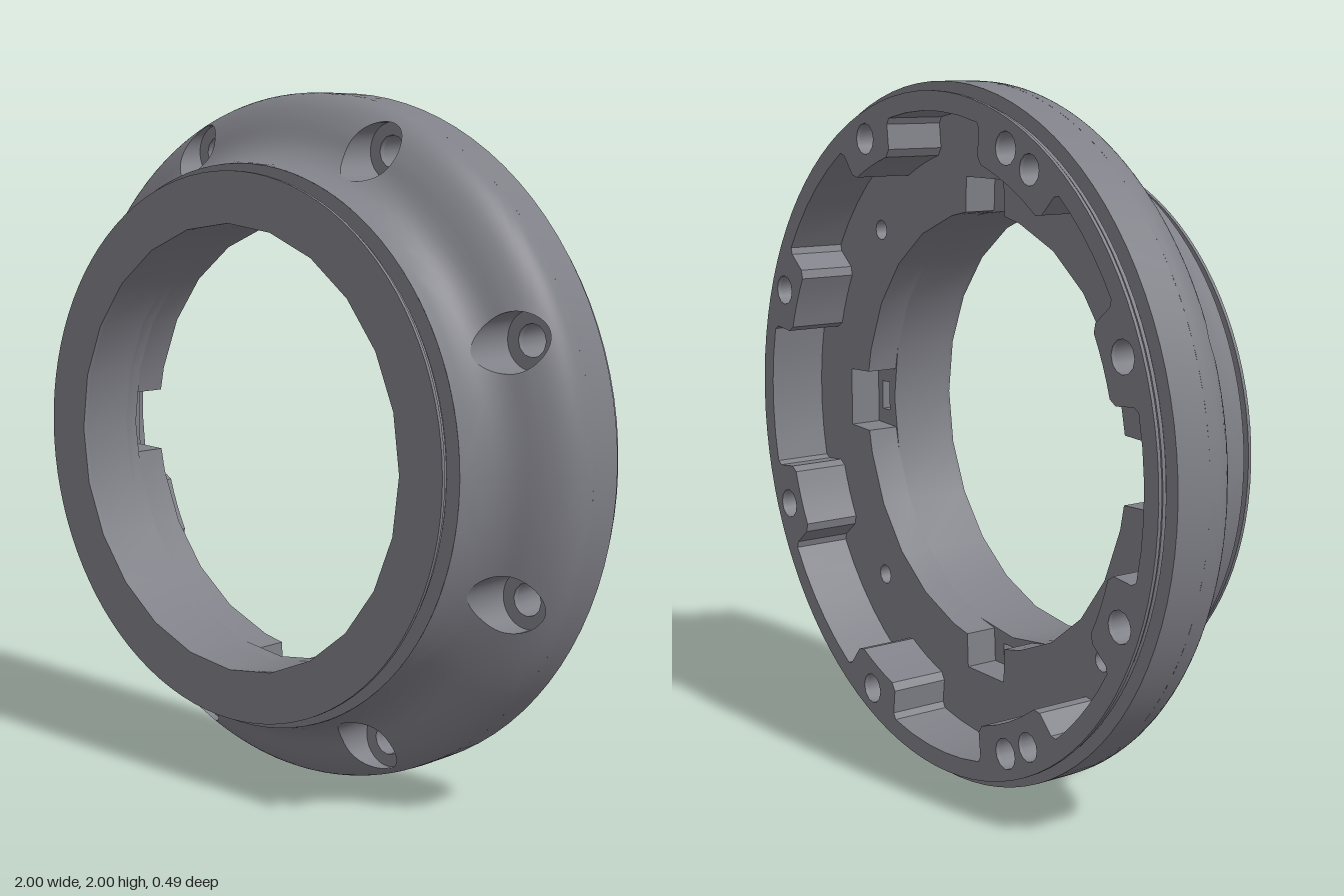
import * as THREE from 'three';
import { mergeVertices, toCreasedNormals } from 'three/addons/utils/BufferGeometryUtils.js';

const DEG = Math.PI / 180;
const BOLT_R = 0.9, BOLT_HOLE = 0.045, COUNTERBORE = 0.08;
const SEAT_Z = -0.05, FLOOR_Z = -0.065, NOTCH_Z = 0.035, BORE = 0.635;
const boltAngles = Array.from({ length: 8 }, (_, i) => 22.5 + 45 * i);

const polar = (r, deg) => new THREE.Vector2(r * Math.cos(deg * DEG), r * Math.sin(deg * DEG));
const circle = (r, n, c = new THREE.Vector2()) =>
  Array.from({ length: n }, (_, i) => polar(r, (360 * i) / n).add(c));

// Flat plate between two z levels, with hole contours
function plate(outer, holes, z0, z1) {
  const shape = new THREE.Shape(outer);
  shape.holes = holes.map((h) => new THREE.Path(h));
  const g = new THREE.ExtrudeGeometry(shape, { depth: z1 - z0, bevelEnabled: false });
  return toCreasedNormals(g.translate(0, 0, z0), 0.6);
}

// Profile of [radius, z] turned round the z axis
function turned(profile, segments) {
  const g = new THREE.LatheGeometry(profile.map((p) => new THREE.Vector2(...p)), segments);
  return toCreasedNormals(g.rotateX(Math.PI / 2), 0.6);
}

// Curved shoulder, built in eight sectors that each wrap round one counterbore
function shoulderGeometries() {
  const curve = new THREE.CatmullRomCurve3(
    [[0.8, 0.2], [0.806, 0.15], [0.825, 0.1], [0.86, 0.06], [0.92, 0.025], [0.96, -0.005],
      [0.985, -0.035], [0.997, -0.065], [1, -0.1]]
      .map(([r, z]) => new THREE.Vector3(r, z, 0)));
  const uAtRadius = (r) => {
    let lo = 0, hi = 1;
    for (let i = 0; i < 30; i++) {
      const m = (lo + hi) / 2;
      if (curve.getPoint(m).x < r) lo = m; else hi = m;
    }
    return lo;
  };
  const N = 64, RINGS = 10;
  const pos = [], idx = [], wallPos = [], wallIdx = [];
  for (const a of boltAngles) {
    const base = pos.length / 3, wallBase = wallPos.length / 3;
    for (let j = 0; j <= N; j++) {
      const t = (j / N) * Math.PI * 2, c = Math.cos(t), s = Math.sin(t);
      const k = Math.max(Math.abs(c), Math.abs(s));
      const edge = { u: 0.5 + (0.5 * c) / k, th: (22.5 * s) / k };
      const hx = BOLT_R + COUNTERBORE * c, hy = COUNTERBORE * s;
      const hole = { u: uAtRadius(Math.hypot(hx, hy)), th: Math.atan2(hy, hx) / DEG };
      for (let i = 0; i <= RINGS; i++) {
        const f = i / RINGS;
        const p = curve.getPoint(THREE.MathUtils.lerp(hole.u, edge.u, f));
        const v = polar(p.x, a + THREE.MathUtils.lerp(hole.th, edge.th, f));
        pos.push(v.x, v.y, p.y);
        if (i === 0) wallPos.push(v.x, v.y, p.y, v.x, v.y, SEAT_Z);
      }
      if (j === N) continue;
      for (let i = 0; i < RINGS; i++) {
        const p = base + j * (RINGS + 1) + i, q = p + RINGS + 1;
        idx.push(p, p + 1, q, q, p + 1, q + 1);
      }
      const w = wallBase + j * 2;
      wallIdx.push(w, w + 2, w + 1, w + 1, w + 2, w + 3);
    }
  }
  return [[pos, idx], [wallPos, wallIdx]].map(([p, i]) => {
    let g = new THREE.BufferGeometry();
    g.setAttribute('position', new THREE.Float32BufferAttribute(p, 3));
    g.setIndex(i);
    g = mergeVertices(g, 1e-5);
    g.computeVertexNormals();
    return g;
  });
}

// Inner outline of the rear rim: pockets between the bolt pads
function pocketOutline() {
  const pts = [];
  const step = [[0.92, 0], [0.905, 0.9], [0.835, 1.6], [0.817, 3]];
  boltAngles.forEach((a, i) => {
    const a0 = a - (i === 5 ? 16 : 9), a1 = a + (i === 2 ? 16 : 9);
    step.forEach(([r, d]) => pts.push(polar(r, a0 + d)));
    for (let k = 1; k < 4; k++) pts.push(polar(0.817, a0 + 3 + ((a1 - a0 - 6) * k) / 4));
    [...step].reverse().forEach(([r, d]) => pts.push(polar(r, a1 - d)));
    const next = a + 45 - (i === 4 ? 16 : 9);
    for (let k = 1; k < 5; k++) pts.push(polar(0.92, a1 + ((next - a1) * k) / 5));
  });
  return pts;
}

// Bore outline with a notch on each of the four sides
function notchedBore() {
  const pts = [];
  for (let q = 0; q < 360; q += 90) {
    pts.push(polar(BORE, q - 8.5), polar(0.735, q - 7), polar(0.735, q + 7), polar(BORE, q + 8.5));
    for (let d = 15; d < 90; d += 15) pts.push(polar(BORE, q + d));
  }
  return pts;
}

export function createModel() {
  const model = new THREE.Group();
  model.name = 'ringHousing';
  const ring = new THREE.Group();
  ring.name = 'ring';
  ring.position.y = 1;
  model.add(ring);
  const material = new THREE.MeshStandardMaterial({ color: 0x7f7f87, side: THREE.DoubleSide });
  const add = (name, geometry) => {
    const mesh = new THREE.Mesh(geometry, material);
    mesh.name = name;
    ring.add(mesh);
  };

  const boltHoles = boltAngles.map((a) => circle(BOLT_HOLE, 12, polar(BOLT_R, a)));
  const dowelHoles = [119.8, 240.2].map((a) => circle(0.042, 12, polar(BOLT_R, a)));
  const floorHoles = [45, 135, 225, 315].map((a) => circle(0.03, 12, polar(0.77, a)));

  // Front: flange, grooved neck and bore
  add('frontFlange', plate(circle(0.78, 96), [circle(BORE, 24)], 0.235, 0.245));
  add('frontNeck', turned([[0.757, 0.235], [0.757, 0.226], [0.767, 0.226], [0.767, 0.213],
    [0.757, 0.213], [0.757, 0.2], [0.8, 0.2]], 96));
  // A 24-sided bore whose corners line up with the flange opening
  add('bore', turned([[BORE, 0.235], [BORE, NOTCH_Z]], 24));

  // Outside: shoulder with counterbores, then the straight band and rear grooves
  const [shoulder, walls] = shoulderGeometries();
  add('shoulder', shoulder);
  add('counterbores', walls);
  add('outerBand', turned([[1, -0.1], [1, -0.205], [0.957, -0.205], [0.957, -0.214],
    [0.967, -0.214], [0.967, -0.225], [0.957, -0.225], [0.957, -0.236]], 96));

  // Back: rim with bolt pads
  const rimHoles = [pocketOutline(), ...boltHoles, ...dowelHoles];
  add('rearFlange', plate(circle(0.975, 96), rimHoles, -0.245, -0.235));
  add('rearRim', plate(circle(0.955, 96), rimHoles, -0.235, FLOOR_Z));

  // Floor: the outer part also forms the bolt seats
  add('outerFloor', plate(circle(0.987, 96), [circle(0.808, 96), ...boltHoles], FLOOR_Z, SEAT_Z));
  add('innerFloor', plate(circle(0.808, 96), [notchedBore(), ...floorHoles], FLOOR_Z, NOTCH_Z));

  // Notch bottoms with a small slot in each
  const slots = [0, 90, 180, 270].map((a) =>
    [[0.665, -0.045], [0.705, -0.045], [0.705, 0.045], [0.665, 0.045]].map(([x, y]) =>
      new THREE.Vector2(x, y).rotateAround(new THREE.Vector2(), a * DEG)));
  add('notchBottoms', plate(circle(0.8, 48), [circle(BORE, 24), ...slots], NOTCH_Z, 0.075));
  add('slotBottoms', plate(circle(0.75, 48), [circle(BORE + 0.01, 24)], 0.075, 0.08));

  return model;
}
